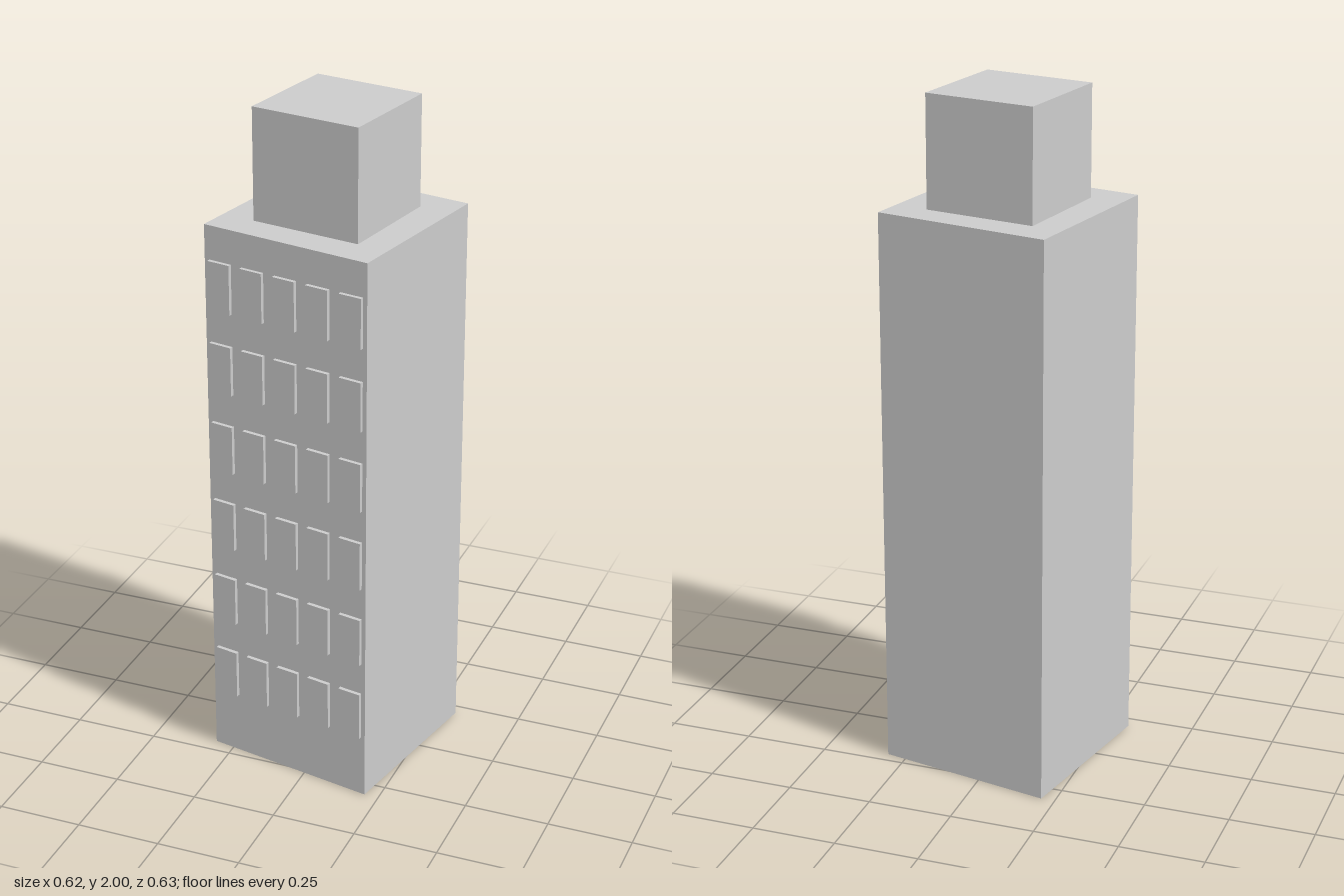
import * as THREE from 'three';

const material = new THREE.MeshStandardMaterial({ color: 0xcccccc, flatShading: true });

function box(name, w, h, d, x, y, z) {
  const mesh = new THREE.Mesh(new THREE.BoxGeometry(w, h, d), material);
  mesh.name = name;
  mesh.position.set(x, y, z);
  return mesh;
}

export function createModel() {
  const model = new THREE.Group();
  model.name = 'towerBuilding';

  const side = 0.528, height = 1.672;

  // Main block with its windows, turned slightly on the plot
  const tower = new THREE.Group();
  tower.name = 'tower';
  tower.position.set(-0.001, 0, -0.005);
  tower.rotation.y = THREE.MathUtils.degToRad(-11.14);
  tower.add(box('towerBody', side, height, side, 0, height / 2, 0));

  // Six floors of five raised windows on the front wall
  const windows = new THREE.Group();
  windows.name = 'windows';
  const proud = 0.0115, depth = 0.02;
  for (let floor = 0; floor < 6; floor++) {
    for (let col = 0; col < 5; col++) {
      windows.add(box('window', 0.071, 0.148, depth,
        0.0017 + (col - 2) * 0.107, 0.267 + floor * 0.246, side / 2 + proud - depth / 2));
    }
  }
  tower.add(windows);
  model.add(tower);

  // Roof block, turned by a slightly different angle
  const roofHeight = 2 - height;
  const roof = box('roofBlock', 0.335, roofHeight, 0.335, -0.001, height + roofHeight / 2, -0.006);
  roof.rotation.y = THREE.MathUtils.degToRad(-10);
  model.add(roof);

  return model;
}
